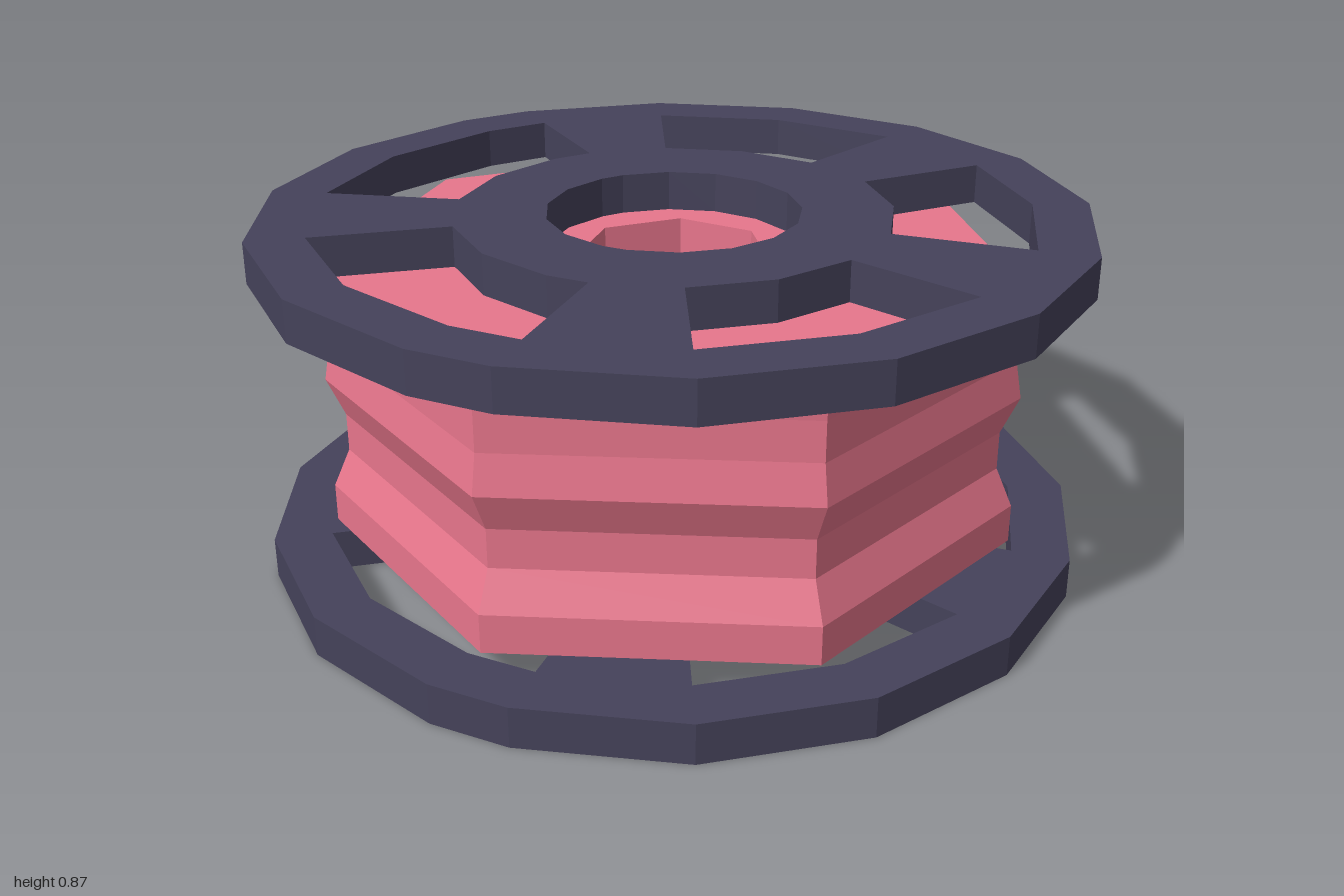
import * as THREE from 'three';

const OFFSET = -0.01; // the wheel axis sits slightly off the bounding-box centre
const FLANGE = 0.1, CORE_TOP = 0.77;
const STEP = 22.5;

// Rim corners in degrees (from +x towards +z): two runs of sixteenths, half a step apart
const rimAngles = [];
for (let i = 0; i < 11; i++) rimAngles.push(-67.5 + i * STEP);
for (let i = 0; i < 6; i++) rimAngles.push(168.75 + i * STEP);

// Each slot runs between two of the rim corners
const slots = [[-67.5 - 56.25, -67.5], [-45, 0], [22.5, 67.5], [90, 135], [157.5, 213.75]];

const polar = (r, deg) => {
  const a = THREE.MathUtils.degToRad(deg);
  return new THREE.Vector2(r * Math.cos(a), r * Math.sin(a));
};

// Rim corners lying within a slot, in order
function cornersBetween(from, to) {
  return rimAngles
    .flatMap((a) => [a - 360, a])
    .filter((a) => a >= from - 0.01 && a <= to + 0.01)
    .sort((a, b) => a - b);
}

// Spoked disc: rim, hub hole and five slots
function flangeGeometry() {
  const shape = new THREE.Shape(rimAngles.map((a) => polar(1.01, a)));
  shape.holes.push(new THREE.Path(rimAngles.map((a) => polar(0.31, a))));
  for (const [from, to] of slots) {
    const angles = cornersBetween(from, to);
    const outer = angles.map((a) => polar(0.87, a));
    const inner = angles.map((a) => polar(0.532, a)).reverse();
    shape.holes.push(new THREE.Path([...outer, ...inner]));
  }
  const geo = new THREE.ExtrudeGeometry(shape, { depth: FLANGE, bevelEnabled: false });
  return geo.rotateX(Math.PI / 2).translate(0, FLANGE, 0);
}

// Seven-sided grooved drum with a seven-sided bore
function coreGeometry() {
  const radii = [0.855, 0.855, 0.813, 0.813, 0.855, 0.838, 0.838, 0.846];
  const rise = (CORE_TOP - FLANGE) / (radii.length - 1);
  const bore = 0.235;
  const profile = [
    new THREE.Vector2(bore, FLANGE),
    ...radii.map((r, i) => new THREE.Vector2(r, FLANGE + i * rise)),
    new THREE.Vector2(bore, CORE_TOP),
    new THREE.Vector2(bore, FLANGE),
  ];
  const geo = new THREE.LatheGeometry(profile, 7, Math.PI).toNonIndexed();
  geo.computeVertexNormals();
  return geo;
}

export function createModel() {
  const group = new THREE.Group();
  group.name = 'spool';
  const dark = new THREE.MeshStandardMaterial({ color: 0x45425a, flatShading: true });
  const pink = new THREE.MeshStandardMaterial({ color: 0xe8768c, flatShading: true });

  const add = (name, geometry, material, y) => {
    const mesh = new THREE.Mesh(geometry, material);
    mesh.name = name;
    mesh.position.set(OFFSET, y, OFFSET);
    group.add(mesh);
  };

  // Two identical flanges with the wound core between them
  const flange = flangeGeometry();
  add('bottomFlange', flange, dark, 0);
  add('topFlange', flange, dark, CORE_TOP);
  add('woundCore', coreGeometry(), pink, 0);
  return group;
}
